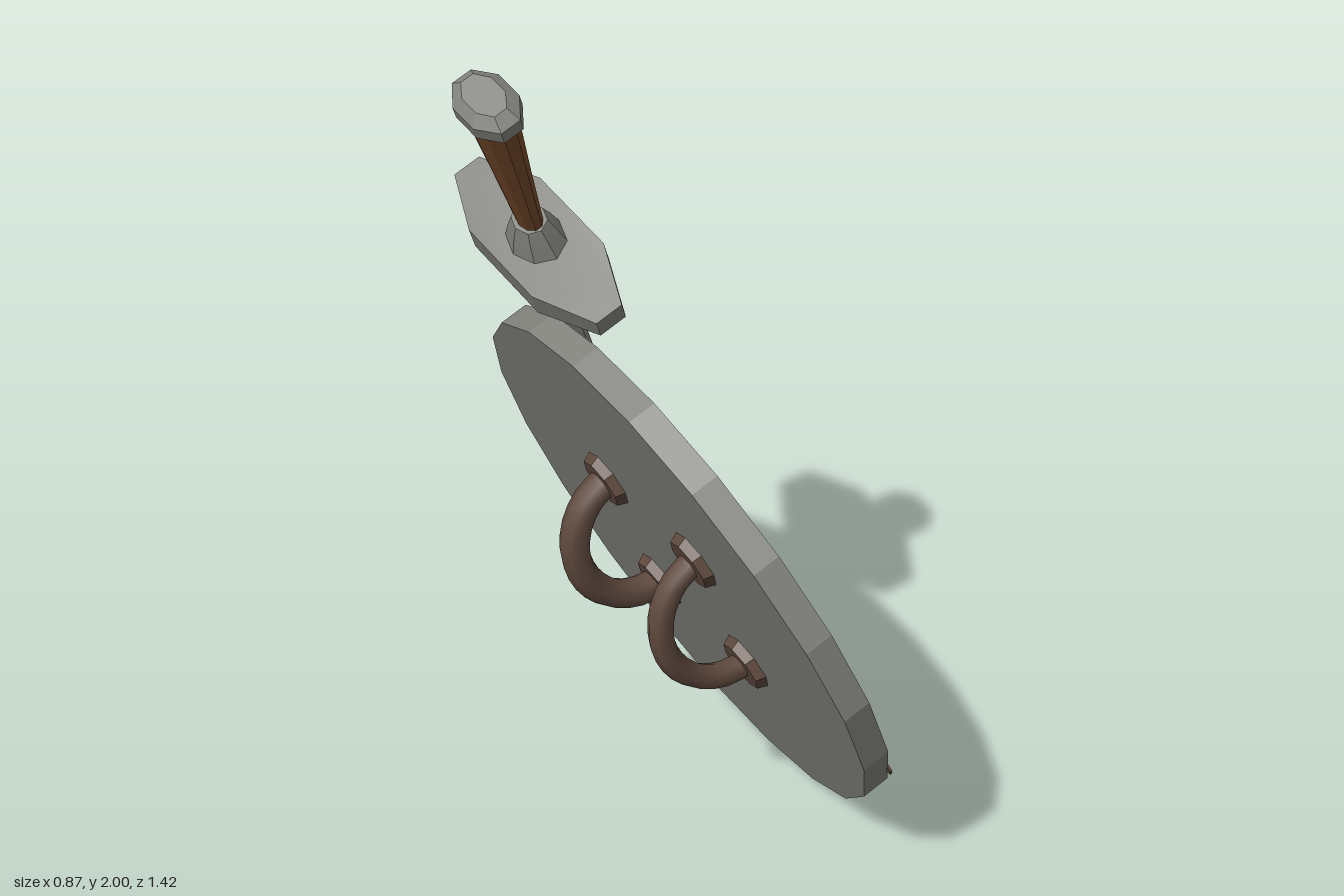
import * as THREE from 'three';
import { toCreasedNormals } from 'three/addons/utils/BufferGeometryUtils.js';

const paint = (name, color) => {
  const m = new THREE.MeshStandardMaterial({ color });
  m.name = name;
  return m;
};

// Closed loft along x; each section is [x, half height in y, half width in z]
function loft(sections, sides, phase = 0) {
  const pos = [], index = [];
  const ring = ([x, h, w]) => {
    for (let j = 0; j < sides; j++) {
      const a = ((j + phase) / sides) * Math.PI * 2;
      pos.push(x, Math.cos(a) * h, Math.sin(a) * w);
    }
  };
  sections.forEach(ring);
  const last = (sections.length - 1) * sides;
  const c0 = pos.length / 3, c1 = c0 + 1;
  pos.push(sections[0][0], 0, 0, sections[sections.length - 1][0], 0, 0);
  for (let j = 0; j < sides; j++) {
    const k = (j + 1) % sides;
    for (let i = 0; i < last; i += sides) {
      index.push(i + j, i + k, i + sides + j, i + k, i + sides + k, i + sides + j);
    }
    index.push(c0, k, j, c1, last + j, last + k);
  }
  const g = new THREE.BufferGeometry();
  g.setAttribute('position', new THREE.Float32BufferAttribute(pos, 3));
  g.setIndex(index);
  return g;
}

// Lathe around y, optionally only part of a turn
const lathe = (points, segments, start = 0, sweep = Math.PI * 2) =>
  new THREE.LatheGeometry(points.map(p => new THREE.Vector2(...p)), segments, start, sweep);

export function createModel() {
  const steel = paint('worn steel', 0x83847e);
  const board = paint('dark wood', 0x5b4c44);
  const rust = paint('rusty iron', 0x604a3f);
  const leather = paint('brown grip', 0x764a2b);

  const add = (parent, name, geometry, material, crease = 0.2) => {
    const mesh = new THREE.Mesh(toCreasedNormals(geometry, crease), material);
    mesh.name = name;
    parent.add(mesh);
    return mesh;
  };

  const model = new THREE.Group();
  model.name = 'shieldAndSword';

  // Leaning frame: local y is the shield's normal, local x runs down its face
  const lean = new THREE.Group();
  lean.name = 'leaningFrame';
  lean.position.set(0.087, 0.663, 0.015);
  lean.rotation.z = -1.171;
  model.add(lean);

  // Shield body with raised rim and sunken board
  const shield = new THREE.Group();
  shield.name = 'shield';
  lean.add(shield);
  add(shield, 'shieldRim', lathe([[0, -0.035], [0.695, -0.035], [0.695, 0.035], [0.628, 0.035], [0.622, 0.012]], 20), steel);
  add(shield, 'shieldBoard', new THREE.CircleGeometry(0.626, 20).rotateX(-Math.PI / 2).translate(0, 0.015, 0), board);

  // Boss: flange, low wall and dome; the upper side is rusted
  const up = Math.PI * 1.5;
  const arc = (name, points, half) => {
    add(shield, name + 'Rust', lathe(points, 10, up - half, half * 2), rust, 0.6);
    add(shield, name, lathe(points, 20, up + half, Math.PI * 2 - half * 2), steel, 0.6);
  };
  arc('bossFlange', [[0.228, 0.015], [0.228, 0.047], [0.215, 0.052], [0.16, 0.052]], 0.65);
  arc('bossWall', [[0.172, 0.05], [0.17, 0.068], [0.155, 0.088]], 1.35);
  add(shield, 'bossDome', lathe([[0.155, 0.088], [0.13, 0.106], [0.095, 0.12], [0.05, 0.128], [0, 0.13]], 24), steel, 0.7);

  // Rust spots
  const spot = (parent, name, x, y, z, r) =>
    add(parent, name, new THREE.CylinderGeometry(r, r, 0.006, 7), rust).position.set(x, y, z);
  spot(shield, 'rimSpot', 0.334, 0.035, 0.59, 0.024);
  spot(shield, 'flangeSpot', 0.195, 0.051, -0.012, 0.022);

  // Two arm handles on the back, each with a pair of mounting plates
  for (const [side, radius] of [[-1, 0.037], [1, 0.031]]) {
    const handle = new THREE.Group();
    handle.name = side < 0 ? 'rearHandle' : 'frontHandle';
    handle.position.set(0.02, -0.035, side * 0.19);
    shield.add(handle);
    const points = [];
    for (let i = 0; i <= 8; i++) {
      const a = (i / 8) * Math.PI;
      points.push(new THREE.Vector3(-Math.cos(a) * 0.19, -Math.sin(a) * 0.165, 0));
    }
    add(handle, 'handleBar', new THREE.TubeGeometry(new THREE.CatmullRomCurve3(points), 16, radius, 8), rust, 1);
    for (const end of [-1, 1]) {
      add(handle, 'handlePlate', new THREE.CylinderGeometry(0.075, 0.065, 0.024, 8), rust)
        .position.set(end * 0.19, -0.012, 0);
    }
  }

  // Sword lies parallel to the shield; local x runs from pommel to tip
  const sword = new THREE.Group();
  sword.name = 'sword';
  sword.position.set(-0.123, 0.08, -0.428);
  sword.rotation.y = 0.28;
  lean.add(sword);
  add(sword, 'blade', loft([
    [-0.74, 0.028, 0.073], [0, 0.03, 0.087], [0.68, 0.032, 0.1],
    [0.73, 0.03, 0.098], [0.79, 0.022, 0.068], [0.85, 0.008, 0.022],
  ], 12), steel, 0.75);
  add(sword, 'bladeCollar', loft([[-0.73, 0.055, 0.09], [-0.7, 0.035, 0.08]], 10), rust);

  // Crossguard: long bar, wide in the middle and narrow at the ends
  const plan = new THREE.Shape([
    [-0.035, -0.27], [0.035, -0.27], [0.1, -0.12], [0.1, 0.12],
    [0.035, 0.27], [-0.035, 0.27], [-0.1, 0.12], [-0.1, -0.12],
  ].map(p => new THREE.Vector2(...p)));
  const guard = new THREE.ExtrudeGeometry(plan, { depth: 0.066, bevelEnabled: false });
  guard.translate(0, 0, -0.033);
  // Extrusion axis becomes x, plan width becomes y, plan length becomes z
  guard.applyMatrix4(new THREE.Matrix4().makeBasis(
    new THREE.Vector3(0, 1, 0), new THREE.Vector3(0, 0, 1), new THREE.Vector3(1, 0, 0)));
  const p = guard.attributes.position;
  for (let i = 0; i < p.count; i++) {
    if (Math.abs(p.getZ(i)) > 0.2) p.setX(i, p.getX(i) * 0.75);
  }
  guard.translate(-0.752, 0, 0);
  add(sword, 'crossguard', guard, steel);
  add(sword, 'guardCollar', loft([[-0.86, 0.038, 0.046], [-0.83, 0.05, 0.06], [-0.78, 0.065, 0.08]], 8), steel);

  // Grip flares toward the pommel
  add(sword, 'grip', loft([[-1.265, 0.052, 0.074], [-1.05, 0.038, 0.054], [-0.84, 0.026, 0.038]], 10), leather);
  add(sword, 'pommel', loft([
    [-1.328, 0.042, 0.066], [-1.305, 0.066, 0.097], [-1.272, 0.066, 0.097], [-1.25, 0.052, 0.078],
  ], 8, 0.5), steel);
  spot(sword, 'bladeSpot', -0.224, 0.016, 0.068, 0.03);
  spot(sword, 'lowerBladeSpot', 0.45, 0.014, 0.08, 0.022);

  return model;
}
